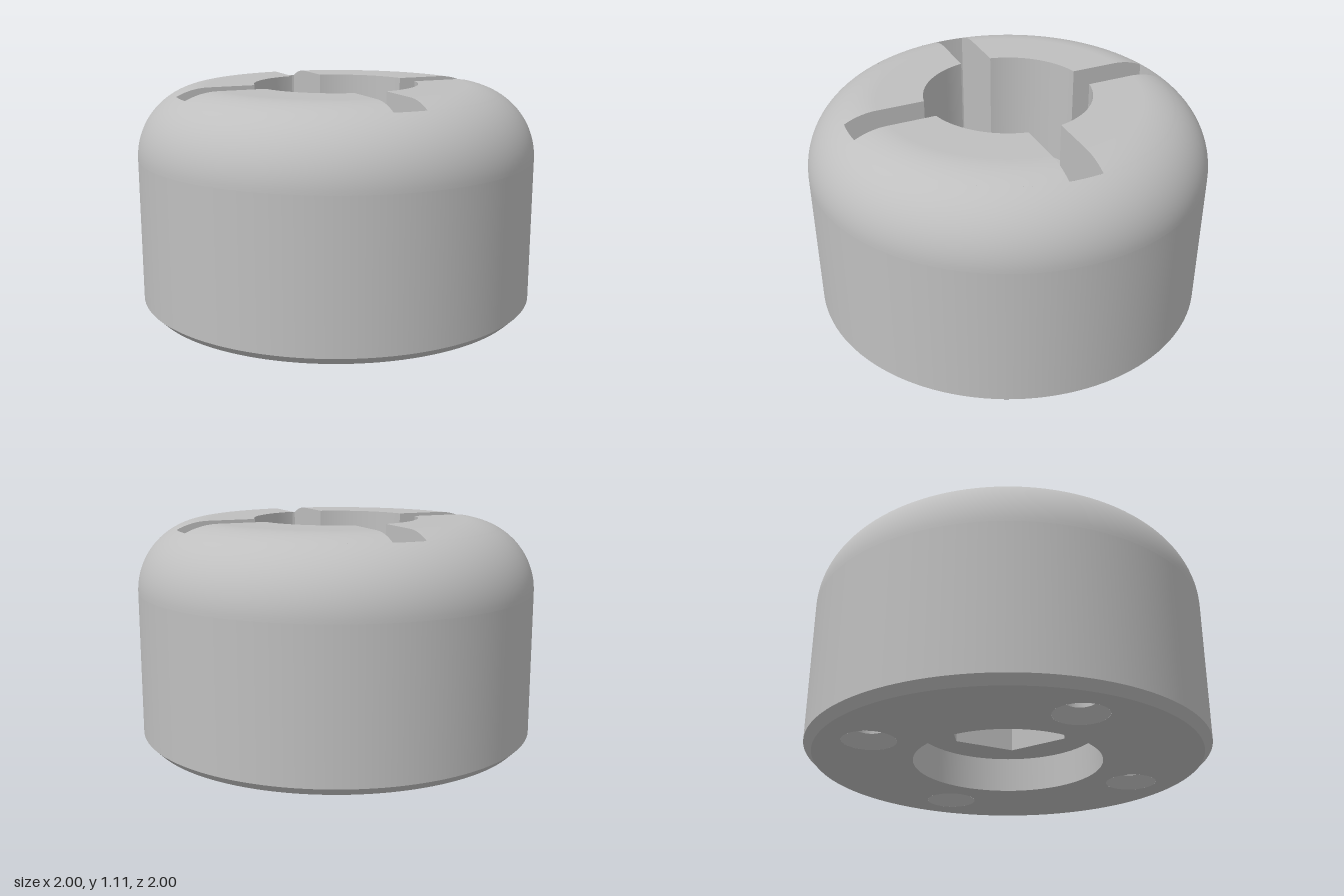
import * as THREE from 'three';
import { ParametricGeometry } from 'three/addons/geometries/ParametricGeometry.js';

const H = 1.11;                       // overall height
const FILLET = 0.35, FR = 0.65, FY = H - FILLET;
const BORE = 0.415, SLOT_W = 0.0825, SLOT_END = 0.81;
const FLOOR = 0.55;                   // floor of the top pocket
const SCREW_R = 0.72, HOLE = 0.07, SINK = 0.17;
const SHAFT = 0.166, RECESS = 0.47, RECESS_Y = 0.18, HEX = 0.325, HEX_Y = 0.425;
const { PI, sin, cos, asin, sqrt, min, max, abs } = Math;

// Height of the rounded top at radius r
const topY = r => (r <= FR ? H : FY + sqrt(max(0, FILLET ** 2 - (r - FR) ** 2)));

export function createModel() {
  const model = new THREE.Group();
  model.name = 'roundedHub';
  const grey = new THREE.MeshStandardMaterial({ color: 0xbfbfbf, side: THREE.DoubleSide });
  grey.name = 'plainGrey';

  const add = (name, geometry, parent = model) => {
    const mesh = new THREE.Mesh(geometry, grey);
    mesh.name = name;
    parent.add(mesh);
    return mesh;
  };
  const lathe = (points, segments = 128) =>
    new THREE.LatheGeometry(points.map(p => new THREE.Vector2(...p)), segments);
  // Upright wall: path(u) gives [x, z], running up from low(u) to high(u)
  const wall = (path, low, high, n) => new ParametricGeometry((u, v, t) => {
    const [x, z] = path(u);
    t.set(x, low(u) + (high(u) - low(u)) * v, z);
  }, n, 1);
  const circle = (r, x = 0, y = 0, hole = true) =>
    new THREE.Path().absarc(x, y, r, 0, 2 * PI, hole);
  // Flat face, turned up or down at height y
  const face = (outline, holes, y, up) => {
    const shape = new THREE.Shape(outline);
    shape.holes.push(...holes);
    return new THREE.ShapeGeometry(shape, 48).rotateX(up ? -PI / 2 : PI / 2).translate(0, y, 0);
  };
  const polygon = (r, n, start = 0) => Array.from({ length: n }, (_, i) =>
    new THREE.Vector2(r * cos(start + i * 2 * PI / n), r * sin(start + i * 2 * PI / n)));

  // Outer shell
  add('bottomChamfer', lathe([[0.96, 0], [1, 0.04]]));
  add('sideWall', lathe([[1, 0.04], [1, FY]]));
  const endAngle = Math.acos((SLOT_END - FR) / FILLET);
  const round = Array.from({ length: 21 }, (_, i) => {
    const a = endAngle * i / 20;
    return [FR + FILLET * cos(a), FY + FILLET * sin(a)];
  });
  add('roundedShoulder', lathe(round));

  // Four quarters of the top, each with its pocket walls, slot end and screw hole
  const slotAngle = r => asin(SLOT_W / r);
  const boreA = slotAngle(BORE), endA = slotAngle(SLOT_END);
  const inX = sqrt(BORE ** 2 - SLOT_W ** 2), outX = sqrt(SLOT_END ** 2 - SLOT_W ** 2);
  const floorY = () => FLOOR;
  const arc = (r, from, to) => u => {
    const a = from + (to - from) * u;
    return [r * cos(a), r * sin(a)];
  };
  const sinkRadius = a => min(SINK, SLOT_W / max(abs(sin(a)), 1e-6),
    (SLOT_END - SCREW_R) / max(cos(a), 1e-6));
  const sinkY = r => FLOOR - (SINK - r);
  const rim = u => {
    const a = 2 * PI * u, r = sinkRadius(a);
    return [SCREW_R + r * cos(a), r * sin(a)];
  };

  for (let q = 0; q < 4; q++) {
    const quarter = new THREE.Group();
    quarter.name = 'quarter' + (q + 1);
    quarter.rotation.y = q * PI / 2;
    model.add(quarter);

    add('topLand', new ParametricGeometry((u, v, t) => {
      const r = BORE + (SLOT_END - BORE) * v, s = slotAngle(r);
      const a = s + (PI / 2 - 2 * s) * u;
      t.set(r * cos(a), topY(r), r * sin(a));
    }, 32, 32), quarter);

    add('boreWall', wall(arc(BORE, boreA, PI / 2 - boreA), floorY, () => H, 32), quarter);
    const reach = u => inX + (outX - inX) * u;
    const sideTop = d => topY(Math.hypot(d, SLOT_W));
    const deep = () => FLOOR;
    add('slotSide', wall(u => [SLOT_W, reach(u)], deep, u => sideTop(reach(u)), 32), quarter);
    add('slotSide', wall(u => [reach(1 - u), SLOT_W], deep, u => sideTop(reach(1 - u)), 32), quarter);
    add('slotEnd', wall(arc(SLOT_END, -endA, endA), deep, () => topY(SLOT_END), 8), quarter);

    // Countersink clipped by the slot, with the slot walls carried down to it
    add('screwCountersink', new ParametricGeometry((u, v, t) => {
      const a = 2 * PI * u, r = HOLE + (sinkRadius(a) - HOLE) * v;
      t.set(SCREW_R + r * cos(a), sinkY(r), r * sin(a));
    }, 96, 4), quarter);
    add('countersinkSkirt', wall(rim, u => sinkY(sinkRadius(2 * PI * u)), floorY, 96), quarter);
    add('screwHole', lathe([[HOLE, sinkY(HOLE)], [HOLE, 0.06]], 40).translate(SCREW_R, 0, 0), quarter);
    add('lowerCountersink', lathe([[HOLE, 0.06], [0.13, 0]], 40).translate(SCREW_R, 0, 0), quarter);
  }

  // Cross-shaped pocket floor, ending at the countersinks
  const cross = [];
  for (let q = 0; q < 4; q++) {
    const put = (x, y) =>
      cross.push(new THREE.Vector2(x, y).rotateAround(new THREE.Vector2(), q * PI / 2));
    for (let i = 0; i <= 12; i++) {
      const s = SLOT_W * (i / 6 - 1);
      put(SCREW_R - sqrt(SINK ** 2 - s ** 2), s);
    }
    for (let i = 0; i <= 32; i++) put(...arc(BORE, boreA, PI / 2 - boreA)(i / 32));
  }
  add('pocketFloor', face(cross, [circle(SHAFT)], FLOOR, true));

  // Centre hole, hexagonal nut pocket and round recess below
  add('centreHole', lathe([[SHAFT, FLOOR], [SHAFT, HEX_Y]], 64));
  const hexagon = polygon(HEX, 6, PI / 2);
  add('nutPocketCeiling', face(hexagon, [circle(SHAFT)], HEX_Y, false));
  const nut = new THREE.CylinderGeometry(HEX, HEX, HEX_Y - RECESS_Y, 6, 1, true).toNonIndexed();
  nut.scale(-1, 1, 1).translate(0, (HEX_Y + RECESS_Y) / 2, 0);
  nut.computeVertexNormals();
  add('nutPocketWall', nut);
  add('recessCeiling', face(polygon(RECESS, 96), [new THREE.Path(hexagon)], RECESS_Y, false));
  add('recessWall', lathe([[RECESS, RECESS_Y], [RECESS, 0]], 96));

  // Underside
  const screwHoles = polygon(SCREW_R, 4).map(p => circle(0.13, p.x, p.y));
  add('underside', face(polygon(0.96, 128), [circle(RECESS), ...screwHoles], 0, false));

  return model;
}
